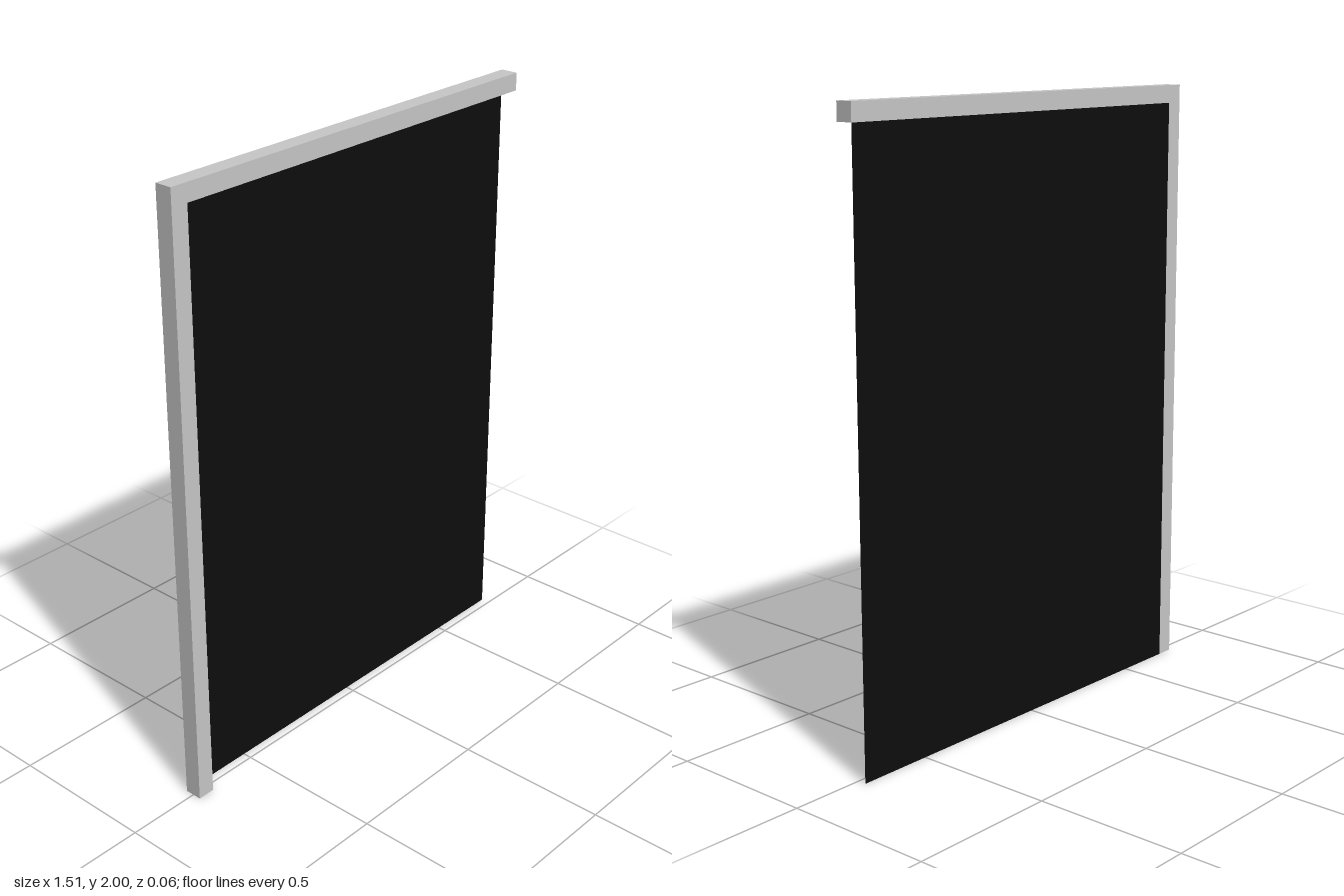
import * as THREE from 'three';

export function createModel() {
  const model = new THREE.Group();
  model.name = 'framedPanel';
  const paleGrey = new THREE.MeshStandardMaterial({ color: 0xc8c8c8 });
  paleGrey.name = 'paleGrey';
  const black = new THREE.MeshStandardMaterial({ color: 0x0d0d0d, side: THREE.DoubleSide });
  black.name = 'black';

  const halfWidth = 0.755, height = 2, bar = 0.058;

  // L-shaped frame: right post and top rail in one outline, open on the left and bottom
  const outline = new THREE.Shape([
    [-halfWidth, 0], [-halfWidth + bar, 0], [-halfWidth + bar, height - bar],
    [halfWidth, height - bar], [halfWidth, height], [-halfWidth, height],
  ].map(([x, y]) => new THREE.Vector2(x, y)));
  const frameGeometry = new THREE.ExtrudeGeometry(outline, { depth: bar, bevelEnabled: false });
  frameGeometry.translate(0, 0, -bar / 2);
  const frame = new THREE.Mesh(frameGeometry, paleGrey);
  frame.name = 'frame';
  model.add(frame);

  // Thin sheet filling the opening, flush with the back of the frame
  const panel = new THREE.Mesh(
    new THREE.PlaneGeometry(2 * halfWidth - bar, height - bar), black);
  panel.name = 'panel';
  panel.position.set(bar / 2, (height - bar) / 2, -bar / 2);
  model.add(panel);

  return model;
}
